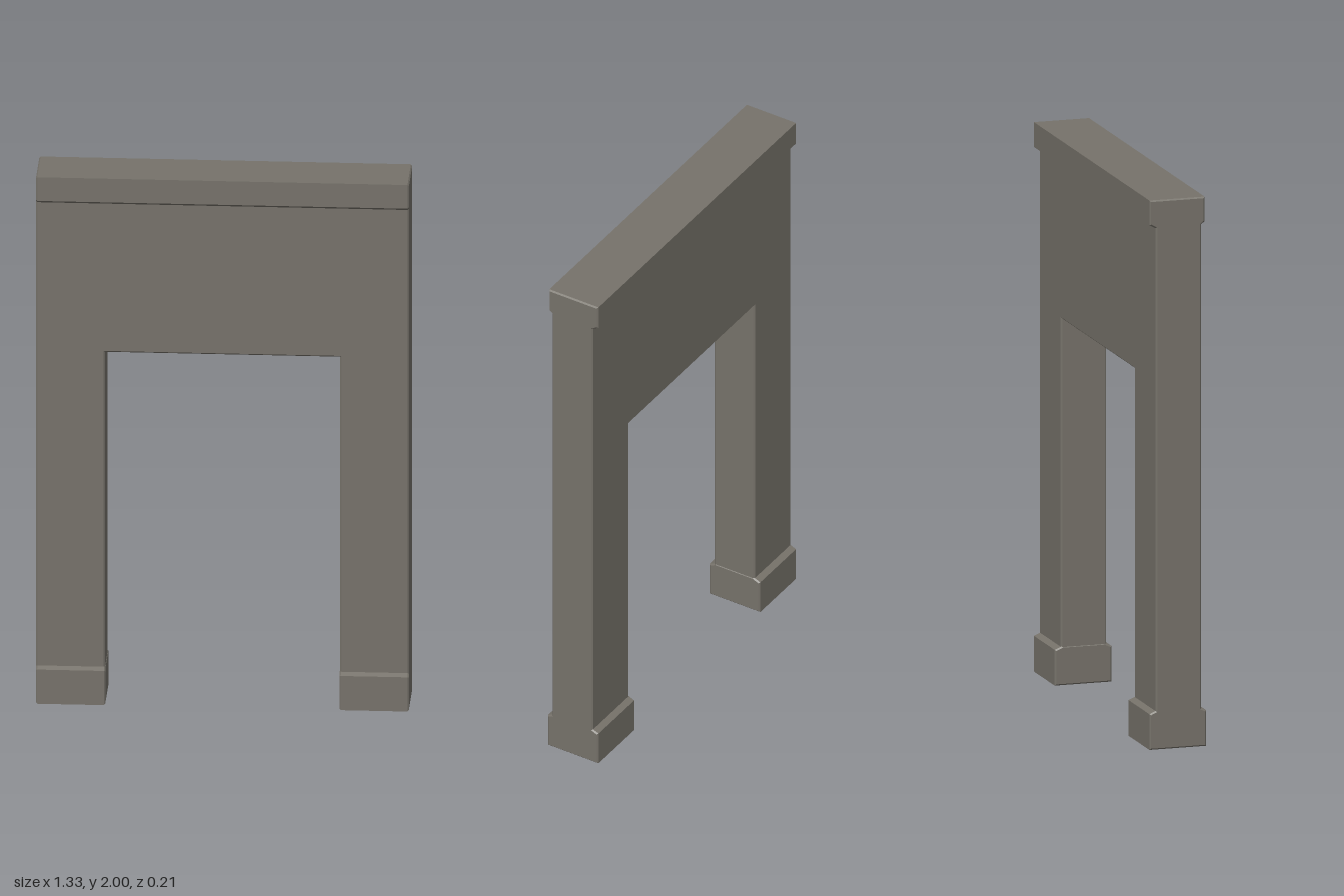
import * as THREE from 'three';

const HALF = 0.663;   // half width of the gateway
const INNER = 0.418;  // half width of the opening
const BEVEL = 0.005;

const material = new THREE.MeshStandardMaterial({ color: 0x76726a, flatShading: true });

// Extrude an outline to a given depth with a small chamfer kept inside the outline
function chamfered(points, depth) {
  const shape = new THREE.Shape(points.map(([x, y]) => new THREE.Vector2(x, y)));
  const geometry = new THREE.ExtrudeGeometry(shape, {
    depth: depth - 2 * BEVEL, bevelEnabled: true, bevelSegments: 1,
    bevelSize: BEVEL, bevelThickness: BEVEL, bevelOffset: -BEVEL,
  });
  return geometry.translate(0, 0, BEVEL);
}

// Run a (z, y) moulding profile along x from x0 to x1
function moulding(name, profile, x0, x1) {
  const geometry = chamfered(profile.map(([z, y]) => [-z, y]), x1 - x0);
  geometry.rotateY(Math.PI / 2).translate(x0, 0, 0);
  const mesh = new THREE.Mesh(geometry, material);
  mesh.name = name;
  return mesh;
}

export function createModel() {
  const group = new THREE.Group();
  group.name = 'gateway';

  // Wall slab: two legs joined by a deep lintel
  const wall = new THREE.Mesh(chamfered([
    [-HALF, 0.12], [-INNER, 0.12], [-INNER, 1.335], [INNER, 1.335],
    [INNER, 0.12], [HALF, 0.12], [HALF, 1.91], [-HALF, 1.91],
  ], 0.17), material);
  wall.geometry.translate(0, 0, -0.083);
  wall.name = 'wall';
  group.add(wall);

  // Coping along the top, with a sloped underside
  group.add(moulding('coping', [
    [0.08, 1.895], [0.1, 1.91], [0.1, 2], [-0.106, 2], [-0.106, 1.91], [-0.078, 1.895],
  ], -HALF, HALF));

  // Plinth under each leg, with a sloped upper edge
  const plinth = [
    [-0.106, 0], [0.106, 0], [0.106, 0.13], [0.08, 0.142], [-0.078, 0.142], [-0.106, 0.13],
  ];
  group.add(moulding('leftPlinth', plinth, INNER - 0.002, HALF));
  group.add(moulding('rightPlinth', plinth, -HALF, -INNER + 0.002));

  return group;
}
